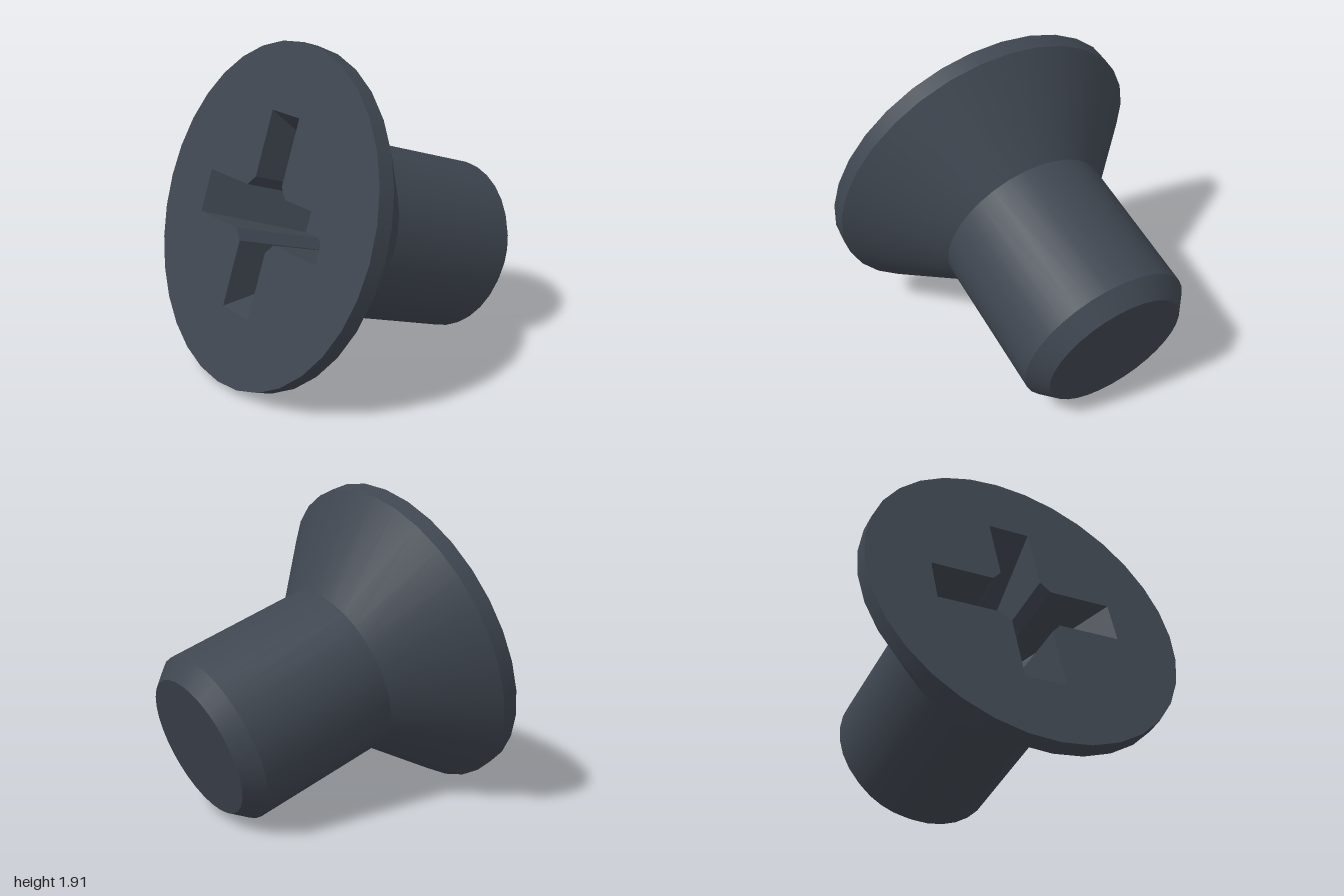
import * as THREE from 'three';

const SIDES = 32, HEAD_R = 0.99, SHAFT_R = 0.528;

// Cross outline with chamfered inner corners: arm half length, half width
function crossPoints(len, w, c = 0.06) {
  const pts = [];
  for (let i = 0; i < 4; i++) {
    for (const [x, y] of [[len, w], [w + c, w], [w, w + c], [w, len]]) {
      pts.push(new THREE.Vector2(x, y).rotateAround(new THREE.Vector2(), i * Math.PI / 2));
    }
  }
  return pts;
}

// Inward-facing walls between the mouth outline and the floor outline
function recessWalls(mouth, floor, depth) {
  const pos = [];
  mouth.forEach((a, i) => {
    const j = (i + 1) % mouth.length, b = mouth[j], c = floor[j], d = floor[i];
    const A = [a.x, a.y, 0], B = [b.x, b.y, 0], C = [c.x, c.y, -depth], D = [d.x, d.y, -depth];
    pos.push(...A, ...B, ...C, ...A, ...C, ...D);
  });
  const geo = new THREE.BufferGeometry();
  geo.setAttribute('position', new THREE.Float32BufferAttribute(pos, 3));
  geo.computeVertexNormals();
  return geo;
}

export function createModel() {
  const steel = new THREE.MeshStandardMaterial({ color: 0x3f4650 });
  steel.name = 'darkSteel';
  const screw = new THREE.Group();
  screw.name = 'countersunkScrew';

  const add = (name, geo) => {
    const mesh = new THREE.Mesh(geo, steel);
    mesh.name = name;
    screw.add(mesh);
  };

  // Turned surfaces, one per segment so that the edges stay crisp; axis is local z
  const turned = [
    ['tipFace', 0, -1.58, 0.434, -1.58],
    ['tipChamfer', 0.434, -1.58, SHAFT_R, -1.47],
    ['shaft', SHAFT_R, -1.47, SHAFT_R, -0.57],
    ['headCone', SHAFT_R, -0.57, HEAD_R, -0.1],
    ['headRim', HEAD_R, -0.1, HEAD_R, 0],
  ];
  for (const [name, r0, z0, r1, z1] of turned) {
    const profile = [new THREE.Vector2(r0, z0), new THREE.Vector2(r1, z1)];
    add(name, new THREE.LatheGeometry(profile, SIDES).rotateX(Math.PI / 2));
  }

  // Flat head face with the cross-shaped opening
  const mouth = crossPoints(0.58, 0.13), floor = crossPoints(0.31, 0.12);
  const rim = Array.from({ length: SIDES }, (_, i) => {
    const a = i / SIDES * Math.PI * 2;
    return new THREE.Vector2(Math.cos(a) * HEAD_R, Math.sin(a) * HEAD_R);
  });
  const face = new THREE.Shape(rim);
  face.holes.push(new THREE.Path(mouth));
  add('headFace', new THREE.ShapeGeometry(face));

  // Tapered drive recess
  add('recessWalls', recessWalls(mouth, floor, 0.6));
  add('recessFloor', new THREE.ShapeGeometry(new THREE.Shape(floor)).translate(0, 0, -0.6));

  // Tilt the screw so that it rests on its head rim and tip
  const out = new THREE.Vector3(-0.9286, 0.313, -0.2).normalize();
  const side = new THREE.Vector3(0, 1, 0).cross(out).normalize();
  const up = out.clone().cross(side);
  screw.quaternion.setFromRotationMatrix(new THREE.Matrix4().makeBasis(side, up, out));
  screw.position.set(-0.63, 0.968, -0.009);

  const model = new THREE.Group();
  model.name = 'screwModel';
  model.add(screw);
  return model;
}
